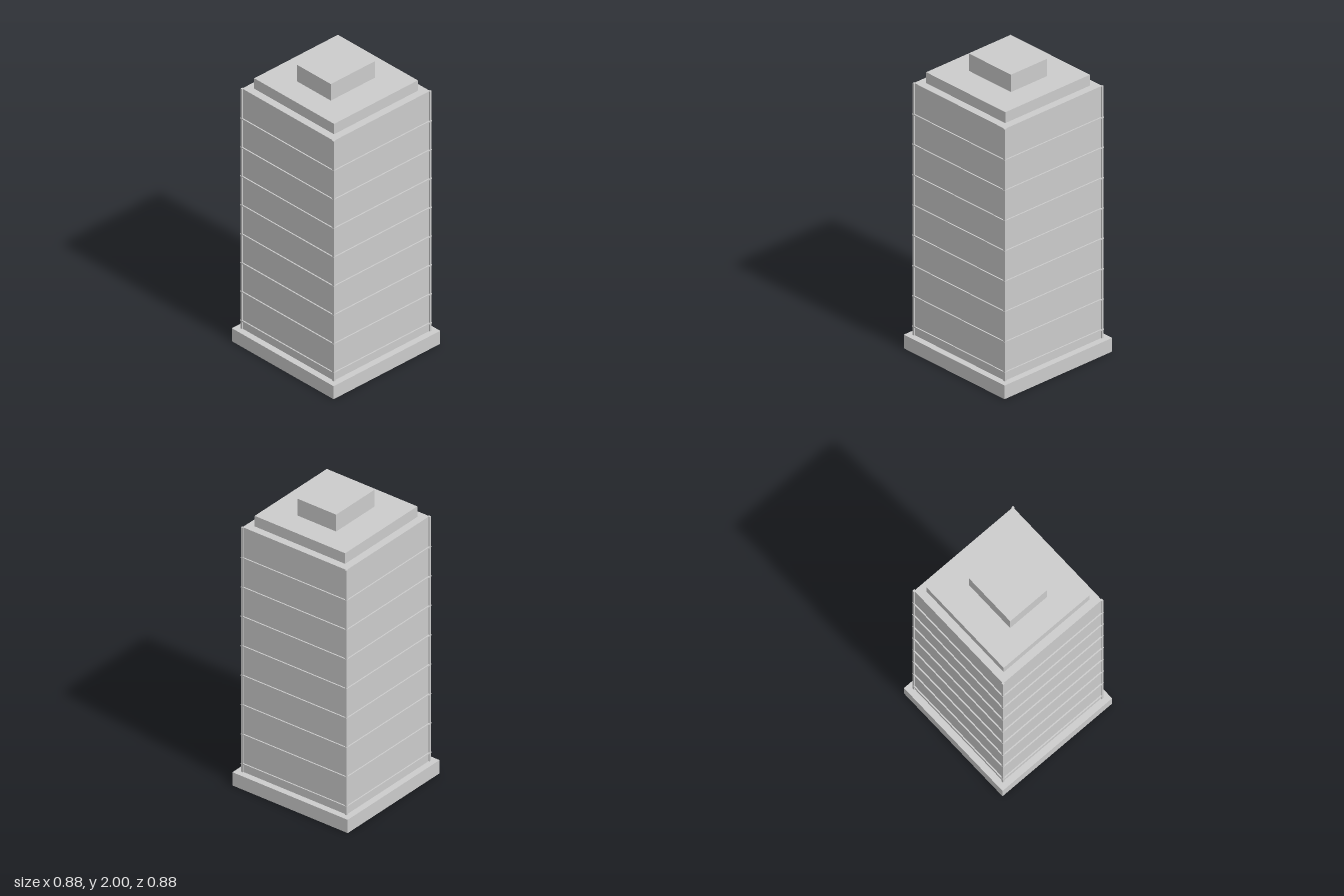
import * as THREE from 'three';

const material = new THREE.MeshStandardMaterial({ color: 0xcccccc, flatShading: true });

// Box standing on height y0 and reaching y1
function block(name, width, depth, y0, y1, x = 0, z = 0) {
  const mesh = new THREE.Mesh(new THREE.BoxGeometry(width, y1 - y0, depth), material);
  mesh.position.set(x, (y0 + y1) / 2, z);
  mesh.name = name;
  return mesh;
}

export function createModel() {
  const tower = new THREE.Group();
  tower.name = 'tower';

  const baseTop = 0.093, shaftTop = 1.808, setbackTop = 1.882;

  // Stacked masses: plinth, main shaft, roof setback and plant room
  tower.add(
    block('plinth', 0.884, 0.884, 0, baseTop),
    block('shaft', 0.797, 0.797, baseTop, shaftTop),
    block('roofSetback', 0.694, 0.694, shaftTop, setbackTop),
    block('plantRoom', 0.296, 0.368, setbackTop, 2),
  );

  // Slim posts wrapping the four corners
  const postInner = 0.391, postOuter = 0.405;
  const postSize = postOuter - postInner, postCentre = (postInner + postOuter) / 2;
  for (const sx of [-1, 1]) {
    for (const sz of [-1, 1]) {
      tower.add(block('cornerPost', postSize, postSize, baseTop, shaftTop, sx * postCentre, sz * postCentre));
    }
  }

  // Thin floor bands projecting all round the shaft
  const bandHeight = 0.008;
  for (let i = 0; i < 8; i++) {
    const y = 0.151 + i * 0.2063;
    tower.add(block('floorBand', 0.814, 0.814, y - bandHeight / 2, y + bandHeight / 2));
  }

  return tower;
}
